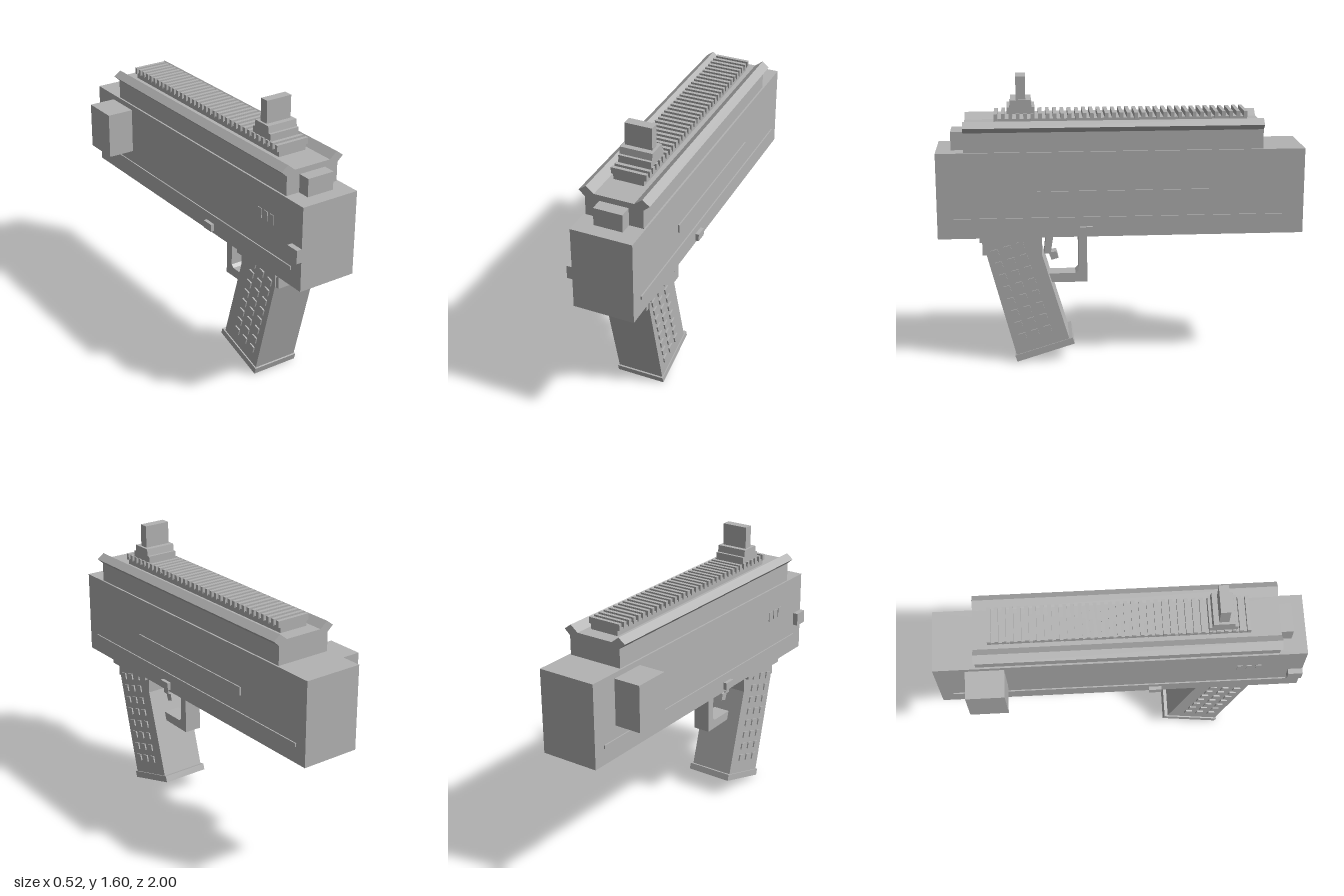
import * as THREE from 'three';

const CX = 0.065; // the main body's mid-plane, offset by the side box

export function createModel() {
  const model = new THREE.Group();
  const grey = new THREE.MeshStandardMaterial({ color: 0xb3b3b3 });
  grey.name = 'grey';

  const add = (name, geometry) => {
    const mesh = new THREE.Mesh(geometry, grey);
    mesh.name = name;
    model.add(mesh);
    return mesh;
  };
  // Box given by its limits on each axis
  const box = (name, x0, x1, y0, y1, z0, z1) => {
    const mesh = add(name, new THREE.BoxGeometry(x1 - x0, y1 - y0, z1 - z0));
    mesh.position.set((x0 + x1) / 2, (y0 + y1) / 2, (z0 + z1) / 2);
    return mesh;
  };
  const extrude = (points, depth) => new THREE.ExtrudeGeometry(
    new THREE.Shape(points.map(([a, b]) => new THREE.Vector2(a, b))),
    { depth, bevelEnabled: false });
  // Side outline of [z, y] points, extruded across x
  const prism = (name, points, x0, x1) =>
    add(name, extrude(points, x1 - x0).rotateY(-Math.PI / 2).translate(x1, 0, 0));

  // Main body and the parts fixed to its sides
  box('body', -0.105, 0.235, 0.732, 1.205, -1, 1);
  box('sideBox', -0.26, -0.105, 0.915, 1.175, -0.83, -0.62);
  box('sideTab', -0.135, -0.105, 0.9, 0.975, 0.92, 1);
  box('sidePanel', 0.235, 0.242, 0.943, 0.99, -0.48, 0.46);
  box('bottomPlate', -0.005, 0.135, 0.728, 0.732, -0.38, 0.08);
  for (const side of [-1, 1]) {
    const face = CX + side * 0.17;
    const outward = (d) => [Math.min(face, face + side * d), Math.max(face, face + side * d)];
    box('sideStrip', ...outward(0.007), 0.824, 0.844, -0.93, 0.92);
    box('sideClip', ...outward(0.02), 0.747, 0.79, 0.16, 0.23);
  }
  for (let i = 0; i < 3; i++) {
    const z = 0.635 + i * 0.05;
    box('sideRib', -0.109, -0.105, 1.01, 1.065, z, z + 0.03);
  }

  // Top cover with angled lips along both sides
  const half = [[0.16, 1.205], [0.16, 1.312], [0.194, 1.342], [0.154, 1.372], [0.11, 1.337]];
  const cover = [...half, ...half.map(([x, y]) => [-x, y]).reverse()];
  add('topCover', extrude(cover, 1.62)).position.set(CX, 0, -0.77);
  box('frontBlock', -0.015, 0.145, 1.205, 1.305, 0.85, 0.92);

  // Toothed rail
  box('railNeck', -0.02, 0.15, 1.335, 1.366, -0.69, 0.685);
  box('railBase', -0.027, 0.157, 1.366, 1.374, -0.69, 0.685);
  const teeth = 35;
  for (let i = 0; i < teeth; i++) {
    const z = 0.675 - (i * 1.355) / (teeth - 1);
    box('railTooth', -0.033, 0.163, 1.367, 1.402, z - 0.01, z + 0.01);
  }

  // Sight on the rail
  box('sightBase', -0.025, 0.155, 1.4, 1.437, 0.465, 0.615);
  prism('sightStep', [[0.6, 1.437], [0.595, 1.475], [0.485, 1.475], [0.48, 1.437]], -0.025, 0.155);
  box('sightPost', -0.012, 0.14, 1.475, 1.6, 0.513, 0.565);

  // Slanted grip with collar and foot
  prism('grip', [[0.74, 0.732], [0.74, 0.625], [0.587, 0.037], [0.292, 0.128], [0.437, 0.62], [0.437, 0.732]],
    -0.066, 0.197);
  box('gripFront', -0.06, 0.191, 0.622, 0.732, 0.7, 0.763);
  box('gripCollar', -0.095, 0.225, 0.704, 0.732, 0.437, 0.775);
  prism('gripFoot', [[0.596, 0.037], [0.585, 0], [0.262, 0.1], [0.273, 0.135]], -0.073, 0.203);

  // Raised squares on both faces of the grip
  for (const x of [-0.066, 0.197]) {
    for (let row = 0; row < 8; row++) {
      for (let col = 0; col < 3; col++) {
        const stud = add('gripStud', new THREE.BoxGeometry(0.016, 0.038, 0.038));
        stud.position.set(x, 0.637 - row * 0.0696 + col * 0.021, 0.694 - row * 0.0203 - col * 0.0696);
        stud.rotation.x = 0.27;
      }
    }
  }

  // Trigger and its guard
  prism('trigger', [[0.41, 0.732], [0.425, 0.6], [0.388, 0.6], [0.367, 0.732]], 0.03, 0.1);
  prism('triggerFoot', [[0.4, 0.605], [0.383, 0.562], [0.345, 0.573], [0.356, 0.61]], 0.03, 0.1);
  prism('triggerGuard', [[0.4, 0.487], [0.4, 0.437], [0.185, 0.434], [0.185, 0.732],
    [0.233, 0.732], [0.233, 0.503], [0.25, 0.487]], 0.015, 0.115);

  return model;
}
